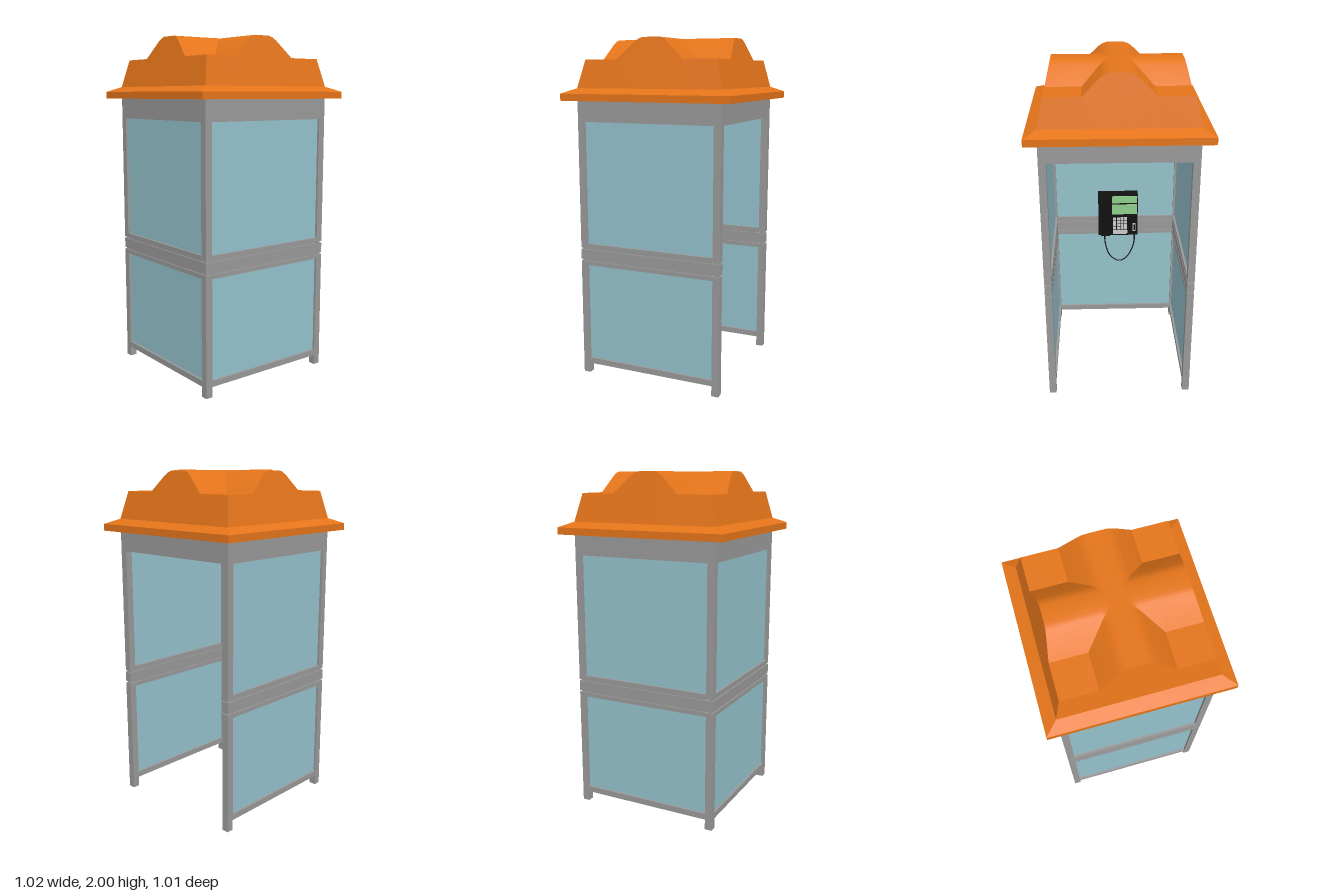
import * as THREE from 'three';
import { toCreasedNormals } from 'three/addons/utils/BufferGeometryUtils.js';

const mat = (color) => new THREE.MeshStandardMaterial({ color });
const metal = mat(0x999999), glass = mat(0x94c1cb), orange = mat(0xe4741a);
const black = mat(0x111111), green = mat(0x8fd08a), keyGrey = mat(0xcccccc);
const HX = 0.44, HZ = 0.435, BAR = 0.042;

// Box given by its extents on each axis
function box(parent, name, material, [x0, x1], [y0, y1], [z0, z1]) {
  const m = new THREE.Mesh(new THREE.BoxGeometry(x1 - x0, y1 - y0, z1 - z0), material);
  m.position.set((x0 + x1) / 2, (y0 + y1) / 2, (z0 + z1) / 2);
  m.name = name;
  parent.add(m);
  return m;
}

// Upright or rail split by two shallow grooves in the middle band
function groovedBar(parent, name, x, y, z) {
  const cuts = [[y[0], 0.705], [0.715, 0.775], [0.785, y[1]]];
  cuts.forEach((c) => box(parent, name, metal, x, c, z));
  const g = 0.007, inset = ([a, b]) => [a + g, b - g];
  box(parent, name + 'Core', metal, inset(x), [0.69, 0.8], inset(z));
}

// One glazed wall facing +z, of half width w, at distance d
function wall(name, w, d) {
  const g = new THREE.Group();
  g.name = name;
  const x = [-w + BAR, w - BAR], z = [d - BAR, d];
  box(g, 'bottomRail', metal, x, [0.06, 0.095], z);
  groovedBar(g, 'middleRail', x, [0.68, 0.81], z);
  const gz = [d - 0.028, d - 0.014];
  box(g, 'lowerGlass', glass, x, [0.095, 0.68], gz);
  box(g, 'upperGlass', glass, x, [0.81, 1.53], gz);
  return g;
}

function meshFromTriangles(name, pts, material) {
  let geo = new THREE.BufferGeometry();
  geo.setAttribute('position', new THREE.Float32BufferAttribute(pts.flat(), 3));
  geo = toCreasedNormals(geo, 0.45);
  const m = new THREE.Mesh(geo, material);
  m.name = name;
  return m;
}

// Roof: two crossing rounded ridges over a tapered body and a flared eave
function buildRoof() {
  const half = [[0.2, 1.88], [0.1, 1.975], [0.075, 1.992], [0.05, 2]];
  const us = [-1, ...half.map((p) => -p[0]), 0, ...half.map((p) => p[0]).reverse(), 1];
  const hs = [1.88, ...half.map((p) => p[1]), 2, ...half.map((p) => p[1]).reverse(), 1.88];
  const n = us.length - 1, sz = HZ / HX;
  const coord = (i, e) => (i === 0 ? -e : i === n ? e : us[i]);
  const top = (i, j) => {
    const y = Math.max(hs[i], hs[j]), e = 0.44 - (y - 1.72) * 0.232;
    return [coord(i, e), y, coord(j, e) * sz];
  };
  const tris = [];
  const quad = (a, b, c, d) => tris.push(...a, ...b, ...c, ...a, ...c, ...d);
  // Ridged top, each cell folded along the valley
  for (let i = 0; i < n; i++) for (let j = 0; j < n; j++) {
    const a = top(i, j), b = top(i, j + 1), c = top(i + 1, j + 1), d = top(i + 1, j);
    if ((i + 0.5 - n / 2) * (j + 0.5 - n / 2) > 0) quad(a, b, c, d);
    else quad(b, c, d, a);
  }
  // Outer rings from the top edge down to the eave and its underside
  const border = [];
  for (let k = 0; k < n; k++) border.push([k, n]);
  for (let k = n; k > 0; k--) border.push([n, k]);
  for (let k = n; k > 0; k--) border.push([k, 0]);
  for (let k = 0; k < n; k++) border.push([0, k]);
  const ring = (e, y) => border.map(([i, j]) => [coord(i, e), y, coord(j, e) * sz]);
  const rings = [border.map(([i, j]) => top(i, j)), ring(0.44, 1.72),
    ring(0.51, 1.69), ring(0.51, 1.65), ring(0.41, 1.65)];
  for (let r = 0; r + 1 < rings.length; r++) {
    const p = rings[r], q = rings[r + 1];
    for (let k = 0; k < p.length; k++) {
      const l = (k + 1) % p.length;
      quad(p[k], q[k], q[l], p[l]);
    }
  }
  return meshFromTriangles('roof', tris, orange);
}

// Wall telephone facing +x
function buildPhone() {
  const g = new THREE.Group();
  g.name = 'telephone';
  const f = -0.335;
  box(g, 'phoneBody', black, [-0.415, f], [0.7, 0.995], [-0.15, 0.115]);
  box(g, 'upperScreen', green, [f, f + 0.004], [0.94, 0.99], [-0.145, 0.022]);
  box(g, 'lowerScreen', green, [f, f + 0.004], [0.858, 0.93], [-0.145, 0.022]);
  // Handset with ear and mouth pieces
  box(g, 'handsetGrip', black, [f + 0.02, f + 0.045], [0.72, 0.98], [0.045, 0.09]);
  for (const y of [0.75, 0.95])
    box(g, 'handsetEnd', black, [f, f + 0.045], [y - 0.035, y + 0.035], [0.038, 0.098]);
  // Keypad
  for (let r = 0; r < 4; r++) for (let c = 0; c < 4; c++) {
    const z = 0.006 - c * 0.025, y = 0.825 - r * 0.024;
    box(g, 'key', keyGrey, [f, f + 0.006], [y - 0.009, y + 0.009], [z - 0.01, z + 0.01]);
  }
  box(g, 'keypadPlate', keyGrey, [f, f + 0.004], [0.71, 0.738], [-0.08, 0.016]);
  box(g, 'cardSlotPlate', keyGrey, [f, f + 0.004], [0.73, 0.79], [-0.137, -0.117]);
  box(g, 'cardSlot', black, [f, f + 0.006], [0.74, 0.78], [-0.131, -0.123]);
  // Hanging cord
  const path = [[0.075, 0.72], [0.07, 0.63], [0.045, 0.545], [0.01, 0.505], [-0.03, 0.49],
    [-0.07, 0.51], [-0.11, 0.575], [-0.128, 0.64], [-0.13, 0.71]];
  const curve = new THREE.CatmullRomCurve3(path.map(([z, y]) => new THREE.Vector3(f - 0.02, y, z)));
  const cord = new THREE.Mesh(new THREE.TubeGeometry(curve, 40, 0.004, 8), black);
  cord.name = 'cord';
  g.add(cord);
  return g;
}

export function createModel() {
  const model = new THREE.Group();
  model.name = 'phoneBooth';

  // Corner posts
  for (const sx of [-1, 1]) for (const sz of [-1, 1]) {
    const x = sx > 0 ? [HX - BAR, HX] : [-HX, -HX + BAR];
    const z = sz > 0 ? [HZ - BAR, HZ] : [-HZ, -HZ + BAR];
    groovedBar(model, 'cornerPost', x, [0, 1.65], z);
  }

  // Three glazed walls; the +x side is the doorway
  const front = wall('frontWall', HX, HZ);
  const back = wall('backWall', HX, HZ);
  back.rotation.y = Math.PI;
  const side = wall('sideWall', HZ, HX);
  side.rotation.y = -Math.PI / 2;
  model.add(front, back, side);

  // Top beams on all four sides, and the ceiling
  const ix = HX - BAR, iz = HZ - BAR, y = [1.53, 1.65];
  for (const s of [0, 1]) {
    box(model, 'topBeam', metal, [-ix, ix], y, s ? [iz, HZ] : [-HZ, -iz]);
    box(model, 'topBeam', metal, s ? [ix, HX] : [-HX, -ix], y, [-iz, iz]);
  }
  box(model, 'ceiling', metal, [-ix, ix], [1.62, 1.65], [-iz, iz]);

  model.add(buildRoof(), buildPhone());
  return model;
}
